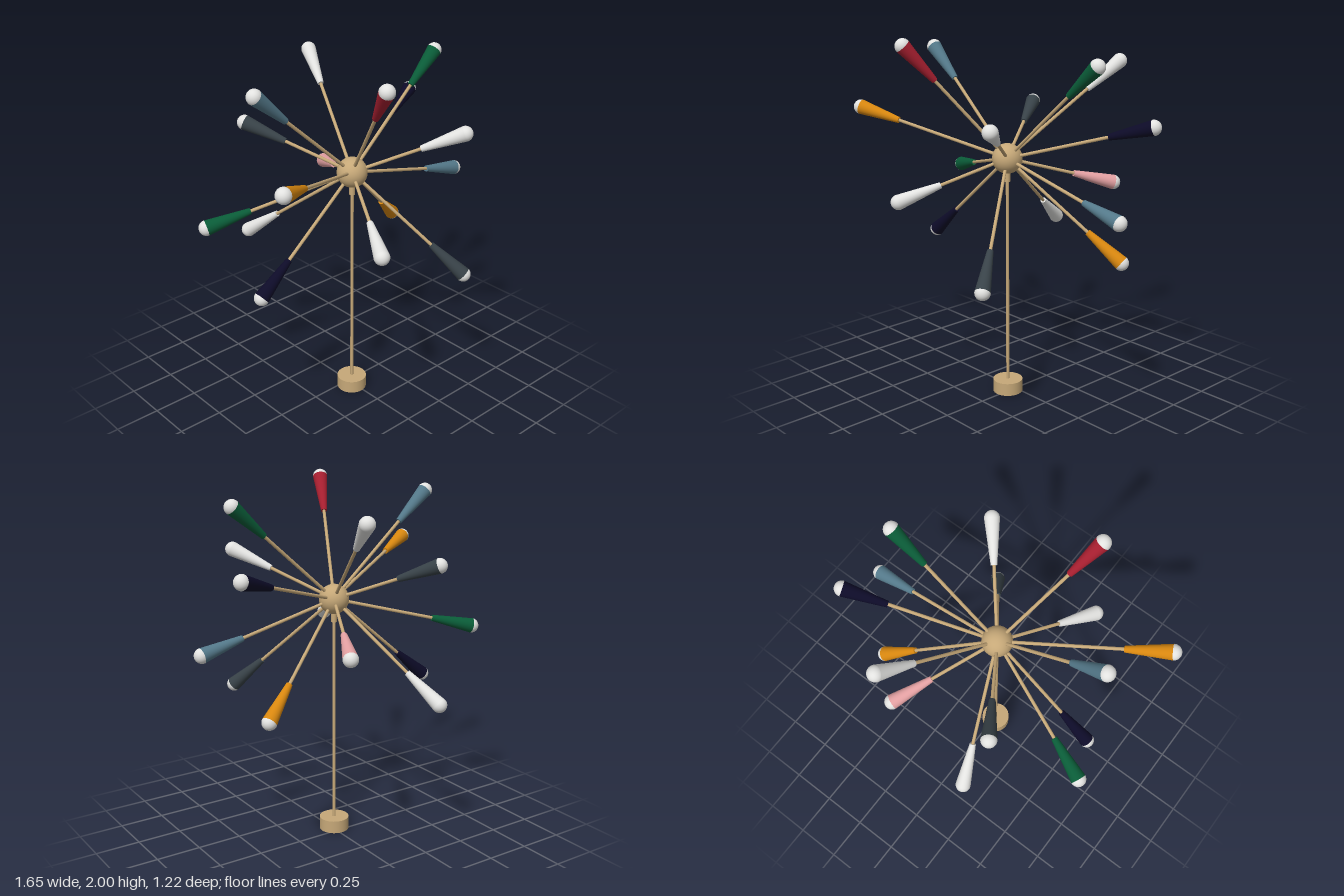
import * as THREE from 'three';

const mat = (name, color) => {
  const m = new THREE.MeshStandardMaterial({ color });
  m.name = name;
  return m;
};

export function createModel() {
  const model = new THREE.Group();
  model.name = 'starburstStand';

  const brass = mat('brass', 0xc6a878);
  const white = mat('white', 0xe2e2e0);
  const teal = mat('teal', 0x54798a);
  const red = mat('red', 0xa81f30);
  const green = mat('green', 0x0a5c38);
  const orange = mat('orange', 0xd8870f);
  const slate = mat('slate', 0x384248);
  const navy = mat('navy', 0x0d0b28);
  const pink = mat('pink', 0xe3a0a2);

  const add = (parent, name, geometry, material, y = 0) => {
    const mesh = new THREE.Mesh(geometry, material);
    mesh.name = name;
    mesh.position.y = y;
    parent.add(mesh);
    return mesh;
  };

  // Stand and hub share one vertical axis
  const hub = new THREE.Vector3(-0.013, 1.35, 0.046);
  const stand = new THREE.Group();
  stand.name = 'stand';
  stand.position.set(hub.x, 0, hub.z);
  model.add(stand);
  add(stand, 'base', new THREE.CylinderGeometry(0.083, 0.083, 0.072, 40), brass, 0.036);
  add(stand, 'stem', new THREE.CylinderGeometry(0.009, 0.009, 1.24, 16), brass, 0.67);
  add(stand, 'collar', new THREE.CylinderGeometry(0.016, 0.016, 0.07, 20), brass, 1.258);
  add(stand, 'hub', new THREE.SphereGeometry(0.082, 40, 28), brass, hub.y);

  // Arms: centre of the ball tip and colour of the cone
  const arms = [
    [-0.625, 1.897, 0.045, teal], [-0.249, 1.957, 0.538, red],
    [0.217, 1.84, -0.572, white], [0.604, 1.886, 0.024, green],
    [-0.783, 1.58, 0.446, orange], [-0.335, 1.572, -0.447, slate],
    [0.359, 1.595, 0.49, white], [0.72, 1.574, -0.27, navy],
    [-0.75, 1.16, -0.243, green], [-0.291, 1.146, 0.566, white],
    [0.257, 1.18, -0.5, pink], [0.787, 1.156, 0.045, teal],
    [-0.635, 0.828, 0.046, navy], [-0.255, 0.87, -0.57, white],
    [0.349, 0.807, 0.538, slate], [0.566, 0.839, -0.235, orange],
  ];
  const tipRadius = 0.041, coneLength = 0.24;
  const coneGeometry = new THREE.CylinderGeometry(tipRadius, 0.017, coneLength, 28);
  const tipGeometry = new THREE.SphereGeometry(tipRadius, 28, 12, 0, Math.PI * 2, 0, Math.PI / 2);
  const up = new THREE.Vector3(0, 1, 0);

  arms.forEach(([x, y, z, colour], i) => {
    const direction = new THREE.Vector3(x, y, z).sub(hub);
    const length = direction.length();
    const arm = new THREE.Group();
    arm.name = `arm${i + 1}`;
    arm.position.copy(hub);
    arm.quaternion.setFromUnitVectors(up, direction.normalize());
    model.add(arm);

    const rodLength = length - coneLength + 0.01;
    add(arm, 'rod', new THREE.CylinderGeometry(0.009, 0.009, rodLength, 14), brass, rodLength / 2);
    add(arm, 'cone', coneGeometry, colour, length - coneLength / 2);
    add(arm, 'roundTip', tipGeometry, white, length);
  });

  return model;
}
